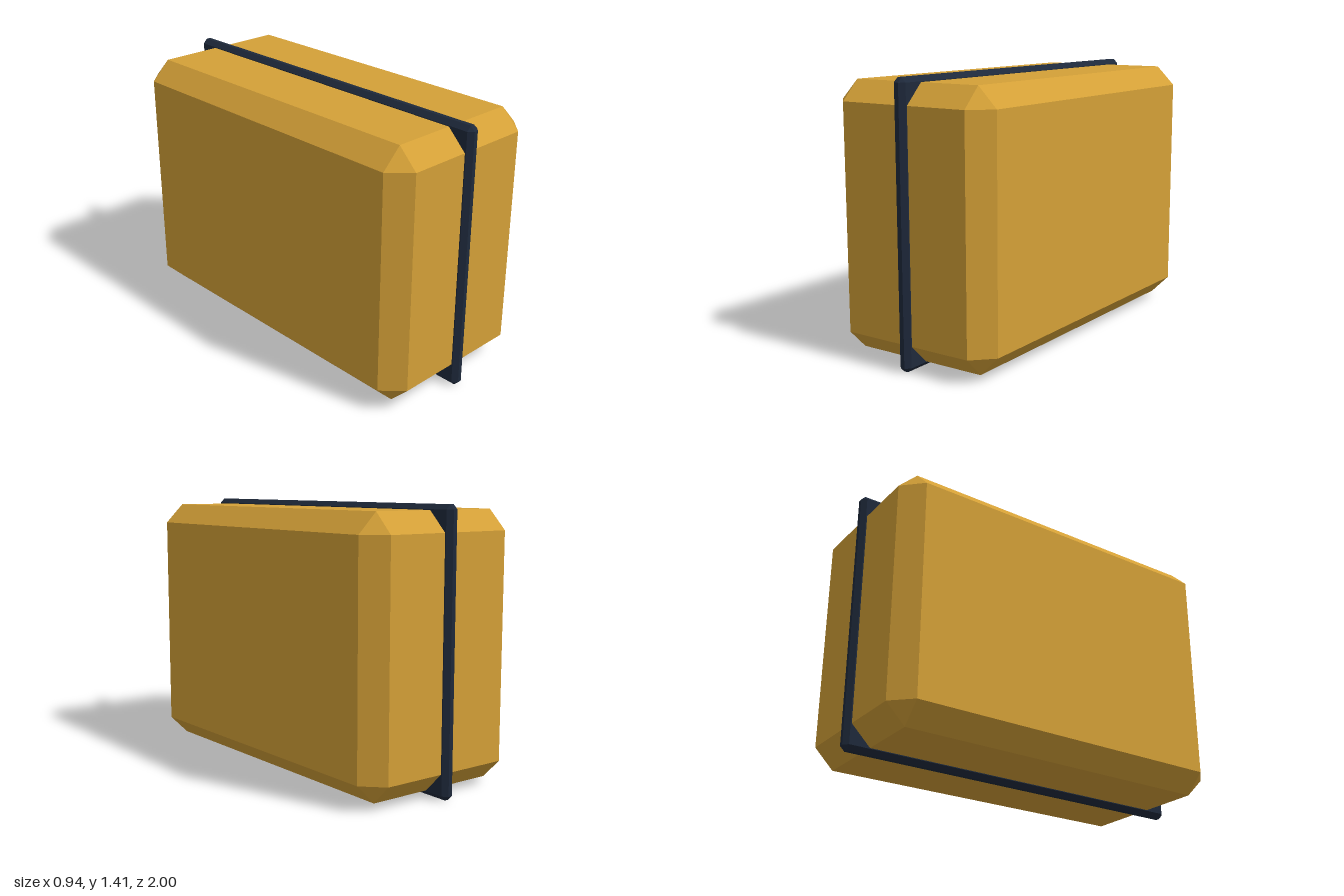
import * as THREE from 'three';
import { ConvexGeometry } from 'three/addons/geometries/ConvexGeometry.js';

// Box with every edge cut at 45 degrees and a triangle at each corner
function chamferedBox(width, height, depth, cut) {
  const [x, y, z] = [width / 2, height / 2, depth / 2];
  const points = [];
  for (const sx of [-1, 1]) for (const sy of [-1, 1]) for (const sz of [-1, 1]) {
    points.push(
      new THREE.Vector3(sx * x, sy * (y - cut), sz * (z - cut)),
      new THREE.Vector3(sx * (x - cut), sy * y, sz * (z - cut)),
      new THREE.Vector3(sx * (x - cut), sy * (y - cut), sz * z)
    );
  }
  return new ConvexGeometry(points);
}

export function createModel() {
  const group = new THREE.Group();
  group.name = 'bandedCase';

  const addPart = (name, geometry, color) => {
    const material = new THREE.MeshStandardMaterial({ color, flatShading: true });
    const mesh = new THREE.Mesh(geometry, material);
    mesh.name = name;
    mesh.position.y = 0.705;
    group.add(mesh);
  };

  // Main case body
  addPart('caseBody', chamferedBox(0.936, 1.354, 1.94, 0.102), 0xd4a037);

  // Thin dark band running around the middle
  addPart('centerBand', chamferedBox(0.07, 1.41, 2, 0.024), 0x1e293b);

  return group;
}
